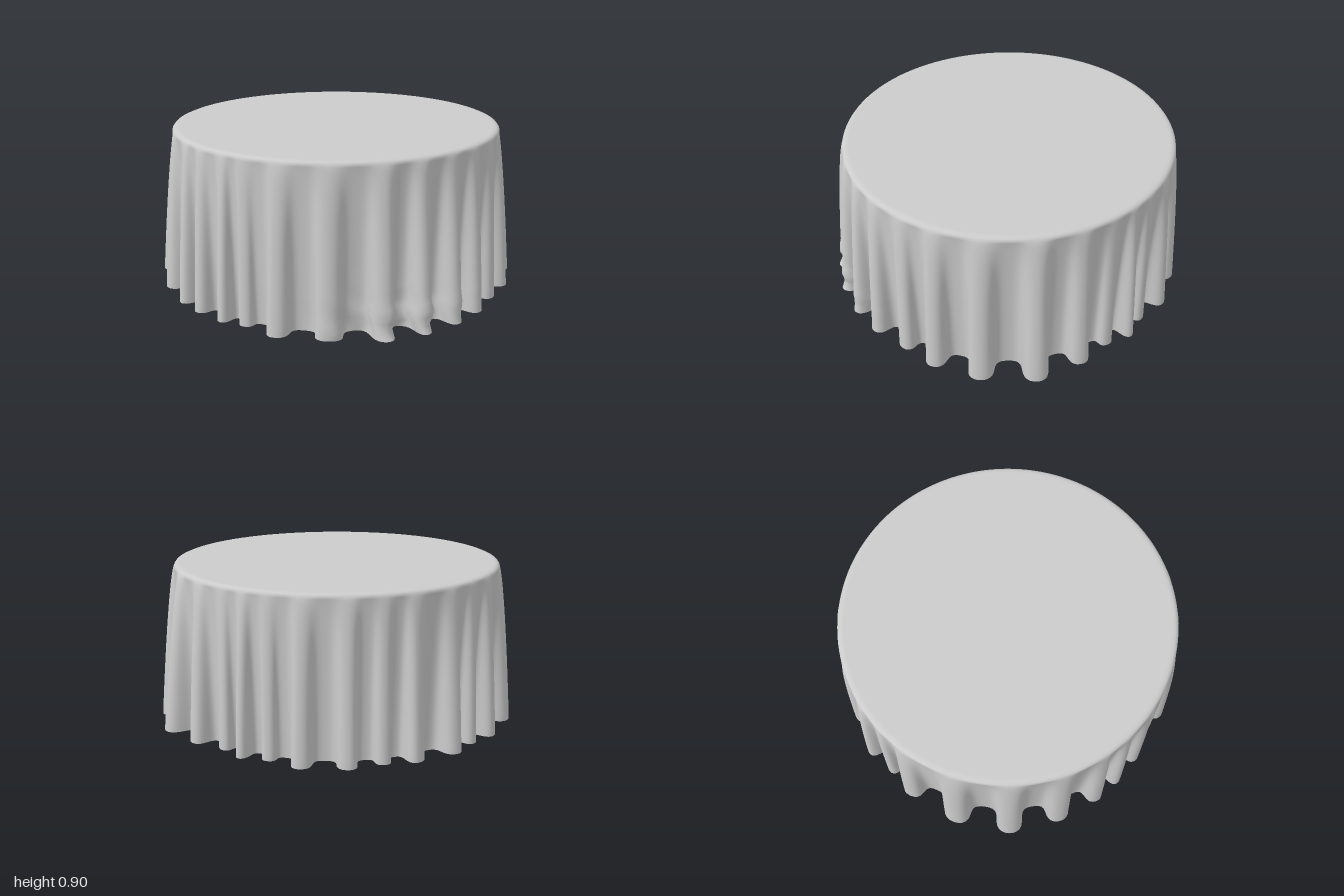
import * as THREE from 'three';

// Hem tips of the cloth folds as x, z pairs, going round the table
const TIPS = [
  [0.04, -0.98], [0.17, -0.93], [0.37, -0.92], [0.62, -0.83], [0.83, -0.59], [0.94, -0.34],
  [0.96, -0.14], [0.99, 0.08], [0.97, 0.27], [0.90, 0.47], [0.78, 0.65], [0.54, 0.83],
  [0.29, 0.95], [0.08, 0.94], [-0.04, 0.97], [-0.23, 0.95], [-0.38, 0.91], [-0.61, 0.79],
  [-0.84, 0.58], [-0.97, 0.27], [-0.99, -0.06], [-0.94, -0.22], [-0.92, -0.39],
  [-0.78, -0.60], [-0.65, -0.70], [-0.52, -0.84], [-0.29, -0.95], [-0.10, -0.94],
];
const VALLEY = 0.875, RIM = 0.912;

// One column per step round the cloth: angle, sideways swing and hem radius
function foldColumns(steps) {
  const folds = TIPS.map(([x, z]) => ({ a: Math.atan2(x, z), r: Math.hypot(x, z) })).sort((p, q) => p.a - q.a);
  const n = folds.length, columns = [];
  folds.forEach((f, i) => {
    const before = folds[(i + n - 1) % n].a - (i === 0 ? 2 * Math.PI : 0);
    const after = folds[(i + 1) % n].a + (i === n - 1 ? 2 * Math.PI : 0);
    for (let k = 0; k < steps; k++) {
      const s = (2 * k) / steps - 1;
      const half = s < 0 ? (f.a - before) / 2 : (after - f.a) / 2;
      const w = Math.pow(0.5 + 0.5 * Math.cos(Math.PI * s), 1.2);
      columns.push({
        a: f.a + s * half,
        swing: 0.14 * half * Math.sin(2 * Math.PI * s),
        r: VALLEY + (f.r - VALLEY) * w,
      });
    }
  });
  return columns;
}

function clothGeometry() {
  const columns = foldColumns(24), m = columns.length, rows = 28;
  // Flat top and rounded rim, as radius and height
  const top = [[0, 0.9], [0.5, 0.9], [0.875, 0.9], [0.893, 0.898], [0.905, 0.893], [RIM, 0.883]];
  const pos = [], index = [];
  for (const [r, y] of top) {
    for (const c of columns) pos.push(r * Math.sin(c.a), y, r * Math.cos(c.a));
  }
  // Hanging skirt: folds deepen towards the hem
  for (let j = 1; j <= rows; j++) {
    const t = Math.pow(j / rows, 1.3), grow = Math.pow(t, 0.7);
    for (const c of columns) {
      const back = THREE.MathUtils.smoothstep(-Math.cos(c.a) - 0.5 * Math.sin(c.a), 0.1, 0.95);
      const hem = 0.01 + 0.025 * back;
      const y = 0.883 + (hem - 0.883) * t;
      // Crumpled patch where the cloth touches the floor
      const patch = Math.exp(-Math.pow((c.a - 0.95) / 0.35, 2)) * THREE.MathUtils.smoothstep(t, 0.7, 0.95);
      const crumple = 0.014 * patch * Math.sin(c.a * 31 + y * 38);
      const r = RIM + (c.r - RIM) * grow + crumple;
      const a = c.a + c.swing * grow + 0.8 * crumple;
      pos.push(r * Math.sin(a), y, r * Math.cos(a));
    }
  }
  for (let j = 0; j < top.length + rows - 1; j++) {
    for (let i = 0; i < m; i++) {
      const k = (i + 1) % m;
      const a = j * m + i, b = a + m, c = j * m + k, d = c + m;
      if (j > 0) index.push(a, b, c);
      index.push(c, b, d);
    }
  }
  const g = new THREE.BufferGeometry();
  g.setAttribute('position', new THREE.Float32BufferAttribute(pos, 3));
  g.setIndex(index);
  g.computeVertexNormals();
  return g;
}

export function createModel() {
  const model = new THREE.Group();
  const grey = new THREE.MeshStandardMaterial({ color: 0xcccccc });
  const clothMaterial = new THREE.MeshStandardMaterial({ color: 0xcccccc, side: THREE.DoubleSide });
  const add = (name, geometry, y = 0, material = grey) => {
    const mesh = new THREE.Mesh(geometry, material);
    mesh.name = name;
    mesh.position.y = y;
    model.add(mesh);
  };

  add('tablecloth', clothGeometry(), 0, clothMaterial);
  add('tableTop', new THREE.CylinderGeometry(0.895, 0.895, 0.015, 96), 0.8825);

  // Round foot with a softened upper edge
  add('base', new THREE.CylinderGeometry(0.445, 0.445, 0.015, 64), 0.0075);
  add('baseBevel', new THREE.CylinderGeometry(0.425, 0.445, 0.012, 64), 0.021);

  // Pedestal, slightly swollen in the middle
  const profile = [[0.06, 0.025], [0.055, 0.1], [0.06, 0.35], [0.062, 0.55], [0.055, 0.8], [0.06, 0.877]];
  add('pedestal', new THREE.LatheGeometry(profile.map(([x, y]) => new THREE.Vector2(x, y)), 32));

  return model;
}
